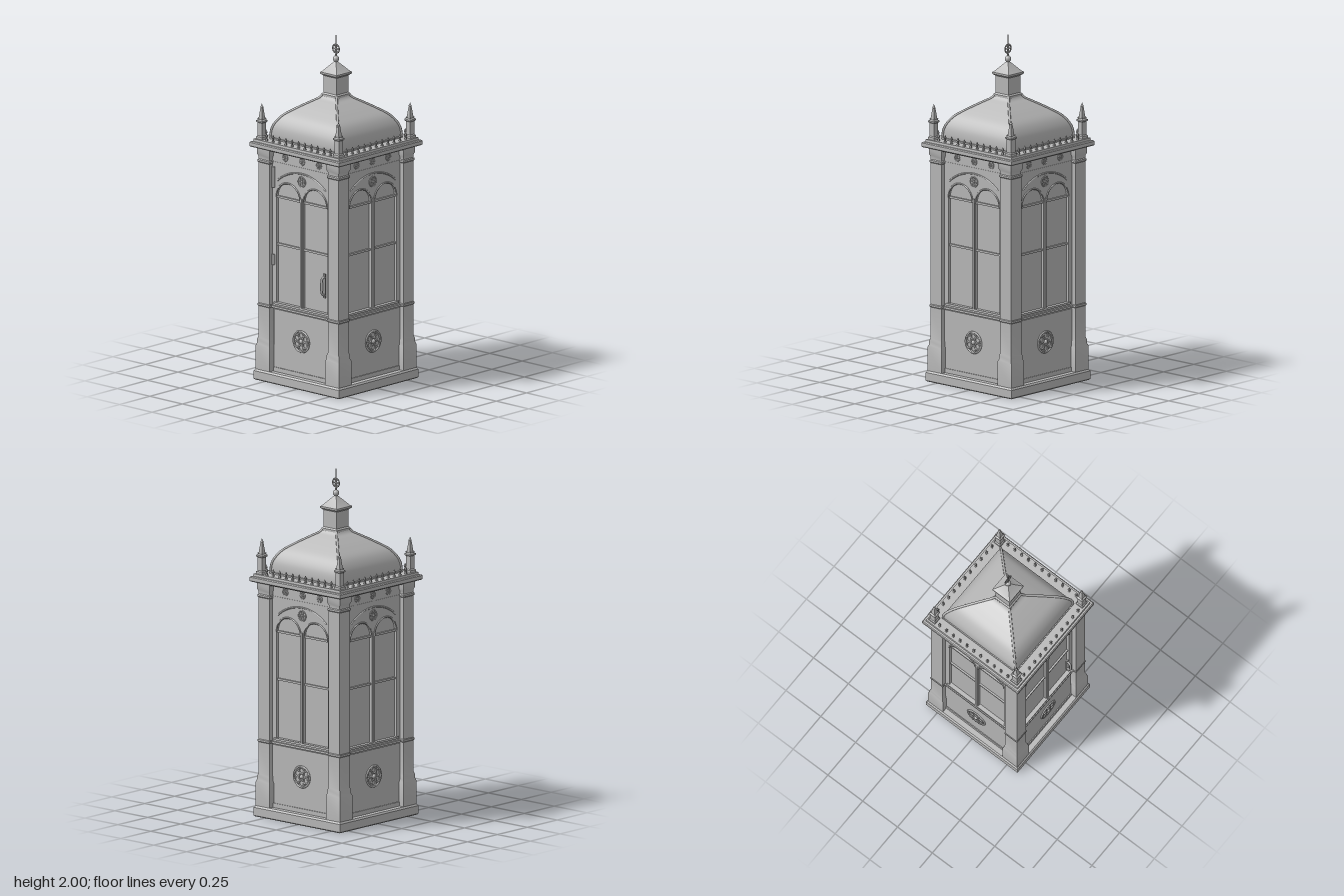
import * as THREE from 'three';
import { toCreasedNormals } from 'three/addons/utils/BufferGeometryUtils.js';

const stone = new THREE.MeshStandardMaterial({ color: 0xb8b8b8 });
stone.name = 'grey';

function add(parent, name, geometry, x = 0, y = 0, z = 0) {
  const mesh = new THREE.Mesh(geometry, stone);
  mesh.name = name;
  mesh.position.set(x, y, z);
  parent.add(mesh);
  return mesh;
}
const box = (w, h, d) => new THREE.BoxGeometry(w, h, d);

// Square-plan solid from a list of [half width, height]
function square(profile) {
  const points = profile.map(([r, y]) => new THREE.Vector2(r * Math.SQRT2, y));
  const g = new THREE.LatheGeometry(points, 4, Math.PI / 4);
  return toCreasedNormals(g, 0.5);
}

// Ring of six foils with a central boss, facing +z
function rosette(parent, name, R, x, y, z) {
  const group = new THREE.Group();
  group.name = name;
  group.position.set(x, y, z);
  add(group, 'rim', new THREE.TorusGeometry(R * 0.92, R * 0.09, 6, 32));
  for (let i = 0; i < 6; i++) {
    const a = (i * Math.PI) / 3 + Math.PI / 6;
    add(group, 'foil', new THREE.TorusGeometry(R * 0.28, R * 0.08, 5, 16), Math.cos(a) * R * 0.56, Math.sin(a) * R * 0.56, 0);
  }
  add(group, 'boss', new THREE.SphereGeometry(R * 0.2, 12, 8));
  parent.add(group);
}

// Window wall with a pair of round-headed lights
const LIGHT_X = 0.1035, LIGHT_R = 0.0925, SPRING = 1.078, SILL = 0.465;
function windowWall() {
  const shape = new THREE.Shape();
  shape.moveTo(-0.227, 0.43);
  shape.lineTo(0.227, 0.43);
  shape.lineTo(0.227, 1.28);
  shape.lineTo(-0.227, 1.28);
  shape.closePath();
  for (const s of [-1, 1]) {
    const hole = new THREE.Path();
    hole.moveTo(s * LIGHT_X - LIGHT_R, SILL);
    hole.lineTo(s * LIGHT_X - LIGHT_R, SPRING);
    hole.absarc(s * LIGHT_X, SPRING, LIGHT_R, Math.PI, 0, true);
    hole.lineTo(s * LIGHT_X + LIGHT_R, SILL);
    hole.closePath();
    shape.holes.push(hole);
  }
  return new THREE.ExtrudeGeometry(shape, { depth: 0.025, bevelEnabled: false, curveSegments: 20 });
}

function buildSide(index) {
  const side = new THREE.Group();
  side.name = ['frontSide', 'leftSide', 'backSide', 'rightSide'][index];
  side.rotation.y = (index * Math.PI) / 2;
  const isDoor = index === 0;

  add(side, 'windowWall', windowWall(), 0, 0, 0.257);
  add(side, 'glassPane', box(0.42, 0.74, 0.008), 0, 0.82, 0.262);
  for (const y of [SPRING, 0.803]) add(side, 'glazingBar', box(0.39, 0.012, 0.012), 0, y, 0.27);
  add(side, 'mullion', box(0.012, 0.64, 0.012), 0, 0.78, 0.284);
  add(side, 'windowSill', box(0.42, 0.012, 0.02), 0, 0.459, 0.28);
  add(side, 'rail', box(0.45, 0.012, 0.03), 0, 0.437, 0.278);

  // Arch mouldings and tracery
  for (const s of [-1, 1]) {
    add(side, 'lightArch', new THREE.TorusGeometry(LIGHT_R, 0.005, 6, 24, Math.PI), s * LIGHT_X, SPRING, 0.283);
  }
  const R = 0.282, spread = Math.asin(0.185 / R);
  const arch = add(side, 'headArch', new THREE.TorusGeometry(R, 0.005, 6, 32, 2 * spread), 0, 1.245 - R, 0.283);
  arch.rotation.z = Math.PI / 2 - spread;
  rosette(side, 'traceryRosette', 0.032, 0, 1.198, 0.284);

  // Lower panel
  const w = isDoor ? 0.42 : 0.444;
  add(side, 'lowerPanel', box(w, 0.355, 0.02), 0, 0.2475, 0.275);
  add(side, 'panelFoot', box(w, 0.025, 0.03), 0, 0.075, 0.275);
  rosette(side, 'panelRosette', 0.065, 0, 0.27, 0.287);

  // Frieze bosses
  for (const x of [-0.13, 0, 0.13]) rosette(side, 'friezeRosette', 0.022, x, 1.315, 0.281);

  // Cresting along the cornice
  for (let i = -5; i <= 5; i++) {
    add(side, 'crestSpike', square([[0, 0], [0.006, 0], [0.003, 0.02], [0.006, 0.028], [0, 0.045]]), i * 0.049, 1.398, 0.309);
  }

  if (isDoor) {
    // Pull handle and hinges
    const grip = new THREE.CatmullRomCurve3([[0.57, 0.28], [0.58, 0.303], [0.625, 0.309], [0.67, 0.303], [0.68, 0.28]]
      .map(([y, z]) => new THREE.Vector3(0.176, y, z)));
    add(side, 'handleGrip', new THREE.TubeGeometry(grip, 20, 0.007, 8));
    add(side, 'handlePlate', box(0.016, 0.14, 0.008), 0.176, 0.625, 0.284);
    for (const [y, h] of [[1.19, 0.12], [0.71, 0.06]]) {
      add(side, 'hinge', new THREE.CylinderGeometry(0.009, 0.009, h, 10), -0.216, y, 0.286);
    }
  }
  return side;
}

export function createModel() {
  const model = new THREE.Group();
  model.name = 'kiosk';

  // Plinth, lower core, frieze and cornice
  add(model, 'plinth', square([[0, 0], [0.322, 0], [0.328, 0.006], [0.328, 0.052], [0.32, 0.062], [0, 0.062]]));
  add(model, 'lowerCore', box(0.54, 0.4, 0.54), 0, 0.255, 0);
  add(model, 'frieze', box(0.56, 0.085, 0.56), 0, 1.3175, 0);
  add(model, 'cornice', square([[0, 1.345], [0.315, 1.345], [0.322, 1.355], [0.34, 1.355], [0.345, 1.36],
    [0.345, 1.38], [0.34, 1.385], [0.33, 1.386], [0.328, 1.4], [0, 1.4]]));

  for (let i = 0; i < 4; i++) model.add(buildSide(i));

  // Corner posts and pinnacles
  const post = square([[0.053, 0.06], [0.053, 0.2], [0.047, 0.215], [0.047, 0.235], [0.042, 0.25], [0.042, 0.43],
    [0.045, 0.434], [0.045, 0.444], [0.042, 0.448], [0.042, 1.265], [0.046, 1.27], [0.046, 1.28], [0.041, 1.285],
    [0.041, 1.3], [0.048, 1.315], [0.048, 1.35]]);
  const pinnacle = square([[0.023, 0], [0.023, 0.014], [0.017, 0.02], [0.017, 0.095], [0.023, 0.1], [0.023, 0.108],
    [0.014, 0.114], [0.006, 0.18], [0, 0.185]]);
  for (const sx of [-1, 1]) for (const sz of [-1, 1]) {
    add(model, 'cornerPost', post, sx * 0.267, 0, sz * 0.267);
    const group = new THREE.Group();
    group.name = 'pinnacle';
    group.position.set(sx * 0.295, 1.4, sz * 0.295);
    add(group, 'spire', pinnacle);
    add(group, 'spireBall', new THREE.SphereGeometry(0.008, 10, 8), 0, 0.185, 0);
    add(group, 'spireTip', new THREE.ConeGeometry(0.004, 0.022, 6), 0, 0.198, 0);
    for (const a of [-1, 1]) for (const b of [-1, 1]) {
      add(group, 'cornerBead', new THREE.SphereGeometry(0.005, 8, 6), a * 0.014, 0.118, b * 0.014);
    }
    model.add(group);
  }

  // Ogee roof with hip ribs
  const key = [[0.258, 1.4], [0.26, 1.43], [0.251, 1.475], [0.217, 1.53], [0.16, 1.575], [0.095, 1.618], [0.065, 1.638], [0.05, 1.66]];
  const curve = new THREE.CatmullRomCurve3(key.map(([r, y]) => new THREE.Vector3(r, y, 0)));
  const profile = curve.getPoints(28).map((p) => [p.x, p.y]);
  add(model, 'roof', square(profile));
  add(model, 'roofEdge', square([[0.25, 1.398], [0.264, 1.398], [0.264, 1.408], [0.25, 1.412]]));
  for (const sx of [-1, 1]) for (const sz of [-1, 1]) {
    const hip = new THREE.CatmullRomCurve3(key.map(([r, y]) => new THREE.Vector3(sx * r, y, sz * r)));
    add(model, 'hipRib', new THREE.TubeGeometry(hip, 32, 0.007, 8));
  }

  // Cupola and finial
  add(model, 'cupola', square([[0.058, 1.648], [0.058, 1.66], [0.05, 1.668], [0.05, 1.765], [0.056, 1.77],
    [0.063, 1.776], [0.063, 1.786], [0.056, 1.79], [0.008, 1.845], [0, 1.846]]));
  add(model, 'finialBall', new THREE.SphereGeometry(0.018, 20, 14), 0, 1.862, 0);
  add(model, 'finialRod', new THREE.CylinderGeometry(0.002, 0.005, 0.15, 8), 0, 1.925, 0);
  rosette(model, 'finialRosette', 0.029, 0, 1.92, 0);
  return model;
}
